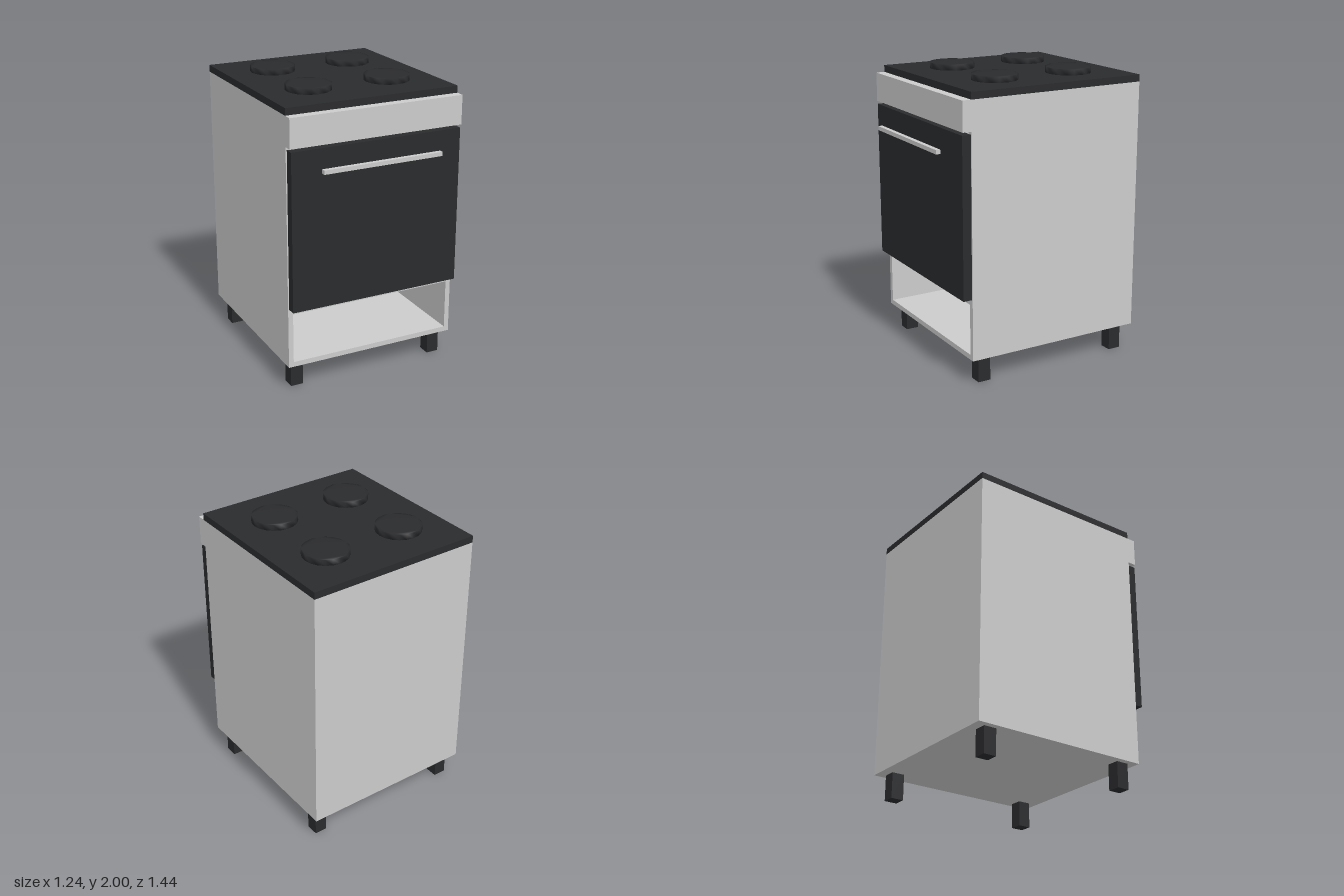
import * as THREE from 'three';
import { mergeVertices } from 'three/addons/utils/BufferGeometryUtils.js';

export function createModel() {
  const group = new THREE.Group();
  const grey = new THREE.MeshStandardMaterial({ color: 0xcccccc });
  const dark = new THREE.MeshStandardMaterial({ color: 0x2a2b2d });

  // Box given by its min and max along each axis
  const box = (name, [x0, x1], [y0, y1], [z0, z1], material, parent = group) => {
    const mesh = new THREE.Mesh(new THREE.BoxGeometry(x1 - x0, y1 - y0, z1 - z0), material);
    mesh.position.set((x0 + x1) / 2, (y0 + y1) / 2, (z0 + z1) / 2);
    mesh.name = name;
    parent.add(mesh);
  };

  const W = 0.62, T = 0.035, bottom = 0.18, top = 1.912, back = -0.718, front = 0.57;

  // Hollow cabinet: one extruded front frame with two openings, plus a back panel
  const rect = (Kind, x, y0, y1) => {
    const r = new Kind();
    r.moveTo(-x, y0).lineTo(x, y0).lineTo(x, y1).lineTo(-x, y1).closePath();
    return r;
  };
  const frame = rect(THREE.Shape, W, bottom, top);
  frame.holes.push(
    rect(THREE.Path, W - T, bottom + T, 0.565), // storage opening
    rect(THREE.Path, W - T, 0.6, top - T), // oven opening
  );
  const cabinet = new THREE.Group();
  cabinet.name = 'cabinet';
  const shell = new THREE.Mesh(
    new THREE.ExtrudeGeometry(frame, { depth: front - back, bevelEnabled: false }), grey);
  shell.position.z = back;
  shell.name = 'cabinetShell';
  cabinet.add(shell);
  box('cabinetBack', [-W + T, W - T], [bottom + T, top - T], [back, back + T], grey, cabinet);
  group.add(cabinet);

  // Front parts and cooktop
  box('controlPanel', [-W, W], [1.712, top], [front, 0.632], grey);
  box('ovenDoor', [-0.612, 0.612], [0.605, 1.692], [front, 0.632], dark);
  box('doorHandle', [-0.427, 0.427], [1.547, 1.575], [0.687, 0.718], grey);
  box('cooktop', [-W, W], [top, 1.96], [back, front], dark);

  // Four hot plates: 20-sided discs with softly shaded rims
  const outline = new THREE.Shape();
  const sides = 20;
  for (let i = 0; i < sides; i++) {
    const a = (i / sides) * Math.PI * 2;
    outline[i ? 'lineTo' : 'moveTo'](0.155 * Math.cos(a), 0.155 * Math.sin(a));
  }
  outline.closePath();
  let disc = new THREE.ExtrudeGeometry(outline, { depth: 0.04, bevelEnabled: false });
  disc.deleteAttribute('normal');
  disc.deleteAttribute('uv');
  disc = mergeVertices(disc);
  disc.computeVertexNormals();
  disc.rotateX(-Math.PI / 2);

  for (const sx of [-1, 1]) {
    for (const z of [-0.367, 0.209]) {
      const plate = new THREE.Mesh(disc, dark);
      plate.position.set(sx * 0.289, 1.96, z);
      plate.name = 'hotPlate';
      group.add(plate);
    }
    // Square legs
    for (const z of [-0.605, 0.461]) {
      const x = sx * 0.534;
      box('leg', [x - 0.044, x + 0.044], [0, bottom], [z - 0.045, z + 0.045], dark);
    }
  }
  return group;
}
